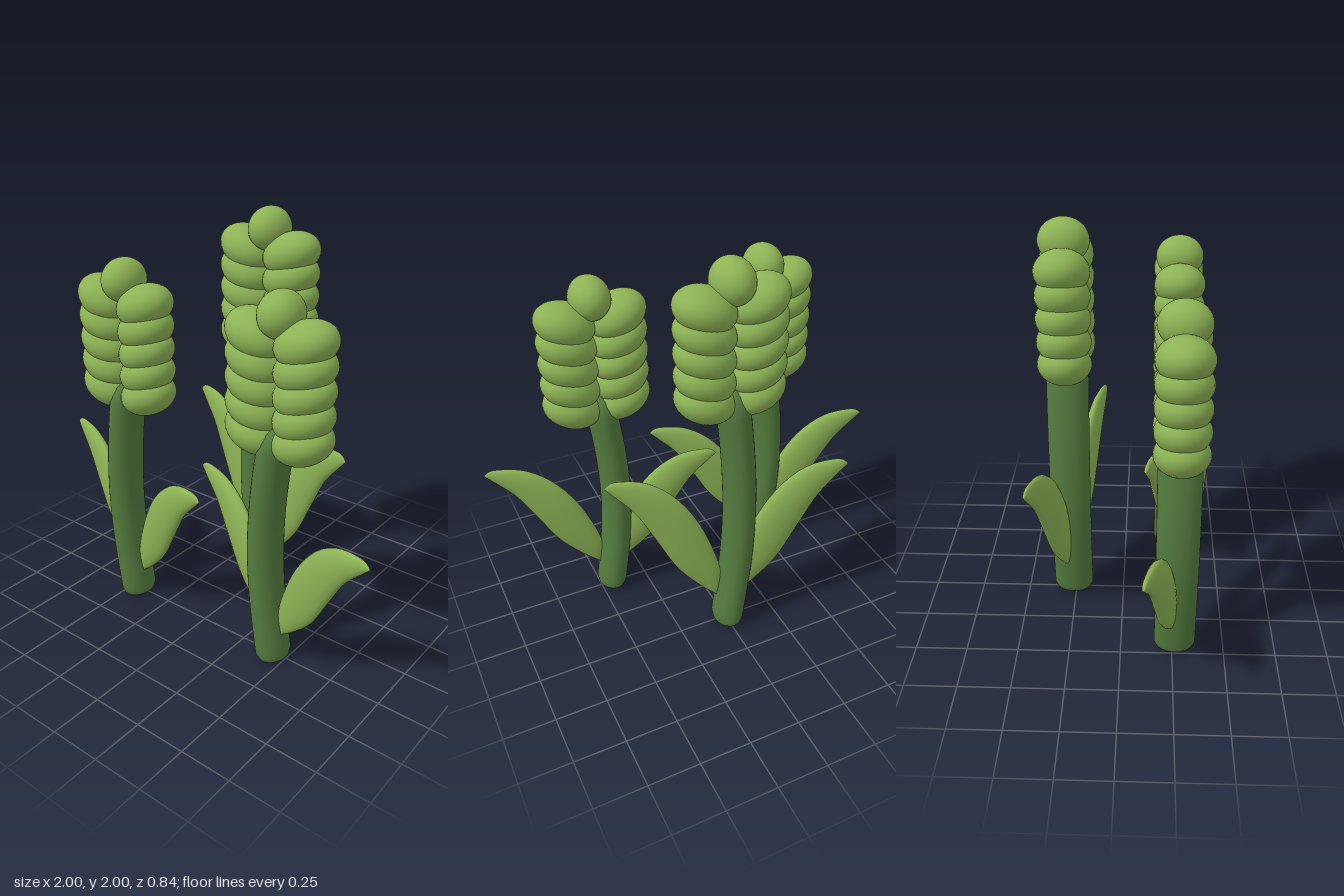
import * as THREE from 'three';
import { mergeVertices } from 'three/addons/utils/BufferGeometryUtils.js';

const v2 = (p) => new THREE.Vector2(p[0], p[1]);
const edge = (pts) => new THREE.CatmullRomCurve3(pts.map(([x, y]) => new THREE.Vector3(x, y, 0)));

// Oval stem with rounded ends, bowed sideways along its height
function stemGeometry() {
  const profile = [[0, 0], [0.07, 0.004], [0.09, 0.016], [0.1, 0.04]];
  for (let i = 1; i <= 20; i++) profile.push([0.1, 0.04 + i * 0.053]);
  profile.push([0.092, 1.14], [0.07, 1.175], [0.04, 1.195], [0, 1.2]);
  let g = new THREE.LatheGeometry(profile.map(v2), 32);
  g.deleteAttribute('uv');
  g.deleteAttribute('normal');
  g = mergeVertices(g, 1e-5);
  const p = g.attributes.position;
  for (let i = 0; i < p.count; i++) {
    p.setX(i, p.getX(i) * 0.75 - 0.06 * Math.sin((Math.PI * p.getY(i)) / 1.2));
  }
  g.computeVertexNormals();
  return g;
}

// Plump leaf: oval cross-sections spanned between a lower and an upper edge
function leafGeometry() {
  const lower = edge([[0.05, 0.15], [0.13, 0.215], [0.24, 0.33], [0.34, 0.5], [0.43, 0.65], [0.52, 0.745], [0.56, 0.785]]);
  const upper = edge([[0.05, 0.15], [0.03, 0.27], [0.08, 0.44], [0.16, 0.6], [0.26, 0.72], [0.37, 0.79], [0.47, 0.81], [0.53, 0.808], [0.56, 0.785]]);
  const rings = 32, sides = 20, pos = [], idx = [];
  for (let i = 0; i <= rings; i++) {
    const t = (1 - Math.cos((Math.PI * i) / rings)) / 2;
    const a = lower.getPointAt(t), b = upper.getPointAt(t);
    const mid = a.clone().add(b).multiplyScalar(0.5);
    const half = b.sub(a).multiplyScalar(0.5);
    const thick = 0.042 * Math.pow(Math.max(0, Math.sin(Math.PI * t)), 0.6);
    for (let j = 0; j < sides; j++) {
      const ang = (2 * Math.PI * j) / sides;
      pos.push((mid.x + half.x * Math.cos(ang)) * 1.036, mid.y + half.y * Math.cos(ang), thick * Math.sin(ang));
    }
  }
  for (let i = 0; i < rings; i++) {
    for (let j = 0; j < sides; j++) {
      const a = i * sides + j, b = i * sides + ((j + 1) % sides);
      idx.push(a, b, a + sides, b, b + sides, a + sides);
    }
  }
  const g = new THREE.BufferGeometry();
  g.setAttribute('position', new THREE.Float32BufferAttribute(pos, 3));
  g.setIndex(idx);
  g.computeVertexNormals();
  return g;
}

export function createModel() {
  const leafGreen = new THREE.MeshStandardMaterial({ color: 0x8db355 });
  leafGreen.name = 'leafGreen';
  const stemGreen = new THREE.MeshStandardMaterial({ color: 0x547b3e });
  stemGreen.name = 'stemGreen';

  const stemGeo = stemGeometry();
  const leafGeo = leafGeometry();
  const ball = new THREE.SphereGeometry(1, 32, 24);

  const add = (parent, geo, mat, name) => {
    const m = new THREE.Mesh(geo, mat);
    m.name = name;
    parent.add(m);
    return m;
  };

  function createPlant(name, x, z, stretch, lift) {
    const plant = new THREE.Group();
    plant.name = name;
    plant.position.set(x, 0, z);

    // Stem with a pair of opposite leaves
    const stalk = new THREE.Group();
    stalk.name = 'stalk';
    stalk.scale.y = stretch;
    add(stalk, stemGeo, stemGreen, 'stem');
    add(stalk, leafGeo, leafGreen, 'leftLeaf').rotation.y = -0.27;
    add(stalk, leafGeo, leafGreen, 'rightLeaf').rotation.y = Math.PI - 0.27;
    plant.add(stalk);

    // Two columns of grains tilted outwards, one grain on top
    const head = new THREE.Group();
    head.name = 'grainHead';
    head.position.y = lift;
    for (const side of [-1, 1]) {
      for (let i = 0; i < 5; i++) {
        const grain = add(head, ball, leafGreen, side > 0 ? 'leftGrain' : 'rightGrain');
        grain.position.set(side * 0.124, 1.157 + i * 0.108, 0);
        grain.rotation.z = side * 0.385;
        grain.scale.set(0.145, 0.1, 0.124);
      }
    }
    const top = add(head, ball, leafGreen, 'topGrain');
    top.position.y = 1.69;
    top.scale.set(0.096, 0.103, 0.116);
    plant.add(head);
    return plant;
  }

  const model = new THREE.Group();
  model.name = 'grainPlants';
  model.add(createPlant('rightPlant', -0.44, 0.262, 1, 0));
  model.add(createPlant('middlePlant', 0, -0.262, 1.17, 0.205));
  model.add(createPlant('leftPlant', 0.44, 0.262, 1, 0));
  return model;
}
